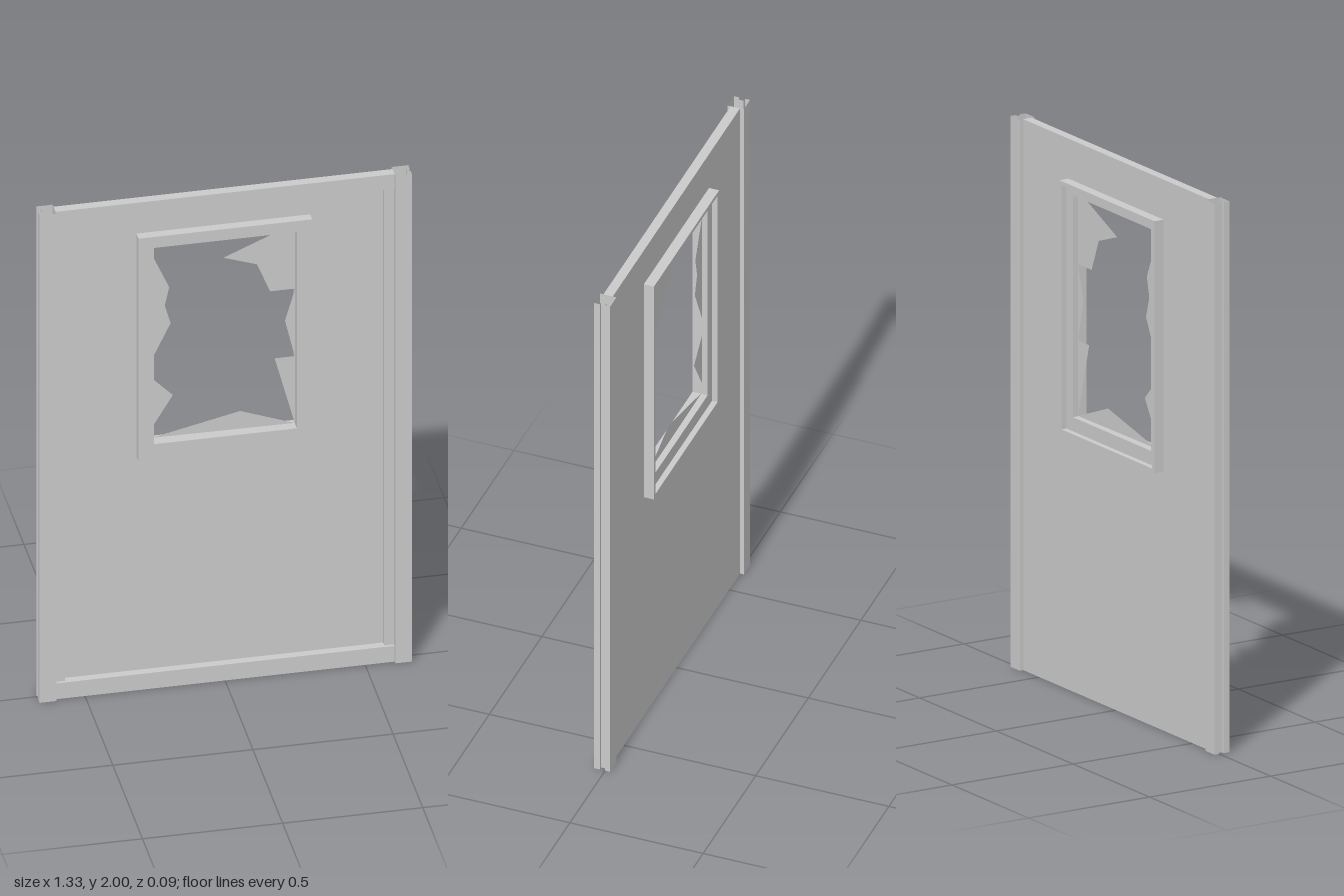
import * as THREE from 'three';

const solid = new THREE.MeshStandardMaterial({ color: 0xcccccc, flatShading: true });
const sheet = new THREE.MeshStandardMaterial({ color: 0xcccccc, flatShading: true, side: THREE.DoubleSide });

function add(group, name, geometry, material = solid) {
  const mesh = new THREE.Mesh(geometry, material);
  mesh.name = name;
  group.add(mesh);
  return mesh;
}

// Box given by its limits on each axis
function block(x0, x1, y0, y1, z0, z1) {
  return new THREE.BoxGeometry(x1 - x0, y1 - y0, z1 - z0)
    .translate((x0 + x1) / 2, (y0 + y1) / 2, (z0 + z1) / 2);
}

function rect(w, y0, y1) {
  return [[-w, y0], [w, y0], [w, y1], [-w, y1]].map(p => new THREE.Vector2(...p));
}

// Rectangular plate with a rectangular opening, from z0 to z1
function ring(outer, inner, z0, z1) {
  const shape = new THREE.Shape(outer);
  shape.holes.push(new THREE.Path(inner));
  return new THREE.ExtrudeGeometry(shape, { depth: z1 - z0, bevelEnabled: false }).translate(0, 0, z0);
}

// Upright folded sheet, open at both ends, following an (x, z) profile
function foldedSheet(profile, height) {
  const pos = [];
  for (let i = 0; i < profile.length - 1; i++) {
    const [ax, az] = profile[i], [bx, bz] = profile[i + 1];
    pos.push(ax, 0, az, bx, 0, bz, bx, height, bz, ax, 0, az, bx, height, bz, ax, height, az);
  }
  const g = new THREE.BufferGeometry();
  g.setAttribute('position', new THREE.Float32BufferAttribute(pos, 3));
  g.computeVertexNormals();
  return g;
}

export function createModel() {
  const model = new THREE.Group();
  model.name = 'wallPanel';
  const opening = rect(0.255, 1.005, 1.81);

  // Thin wall skin with the window cut out
  add(model, 'wallSkin', ring(rect(0.605, 0, 2), opening, -0.005, 0));

  // Rails along top and bottom
  add(model, 'topRail', block(-0.605, 0.605, 1.94, 2, -0.004, 0.03));
  add(model, 'bottomRail', block(-0.605, 0.605, 0, 0.065, -0.004, 0.03));

  // Grooved edge posts and the stiles beside them
  const post = [[0.605, -0.005], [0.605, -0.019], [0.665, -0.019], [0.665, 0], [0.652, 0],
    [0.652, 0.02], [0.665, 0.02], [0.665, 0.042], [0.605, 0.042], [0.605, 0.0]];
  for (const [side, s] of [['left', 1], ['right', -1]]) {
    add(model, side + 'Post', foldedSheet(post.map(([x, z]) => [s * x, z]), 2), sheet);
    add(model, side + 'Stile', block(Math.min(s * 0.57, s * 0.605), Math.max(s * 0.57, s * 0.605),
      0.065, 1.94, -0.004, 0.02));
  }

  // Window frame: deep front casing and a narrow raised rim behind
  const windowFrame = new THREE.Group();
  windowFrame.name = 'windowFrame';
  model.add(windowFrame);
  const outline = rect(0.31, 0.94, 1.855);
  add(windowFrame, 'casing', ring(outline, opening, -0.022, 0.035));
  add(windowFrame, 'backRim', ring(outline, rect(0.296, 0.954, 1.841), -0.043, -0.022));

  // Broken pane fragments
  const shards = [
    [[-0.256, 1.764], [-0.193, 1.62], [-0.209, 1.547], [-0.188, 1.472], [-0.256, 1.33]],
    [[-0.256, 1.255], [-0.18, 1.176], [-0.256, 1.05]],
    [[-0.256, 1.01], [0.06, 1.08], [0.255, 1.006]],
    [[0.255, 1.006], [0.183, 1.28], [0.255, 1.28]],
    [[0.255, 1.552], [0.22, 1.43], [0.255, 1.28]],
    [[0.22, 1.81], [0, 1.716], [0.12, 1.674], [0.167, 1.557], [0.255, 1.557], [0.255, 1.81]],
  ];
  const glass = new THREE.Group();
  glass.name = 'brokenGlass';
  model.add(glass);
  shards.forEach((pts, i) => {
    const shape = new THREE.Shape(pts.map(p => new THREE.Vector2(...p)));
    add(glass, 'glassShard' + (i + 1), new THREE.ShapeGeometry(shape), sheet);
  });

  return model;
}
